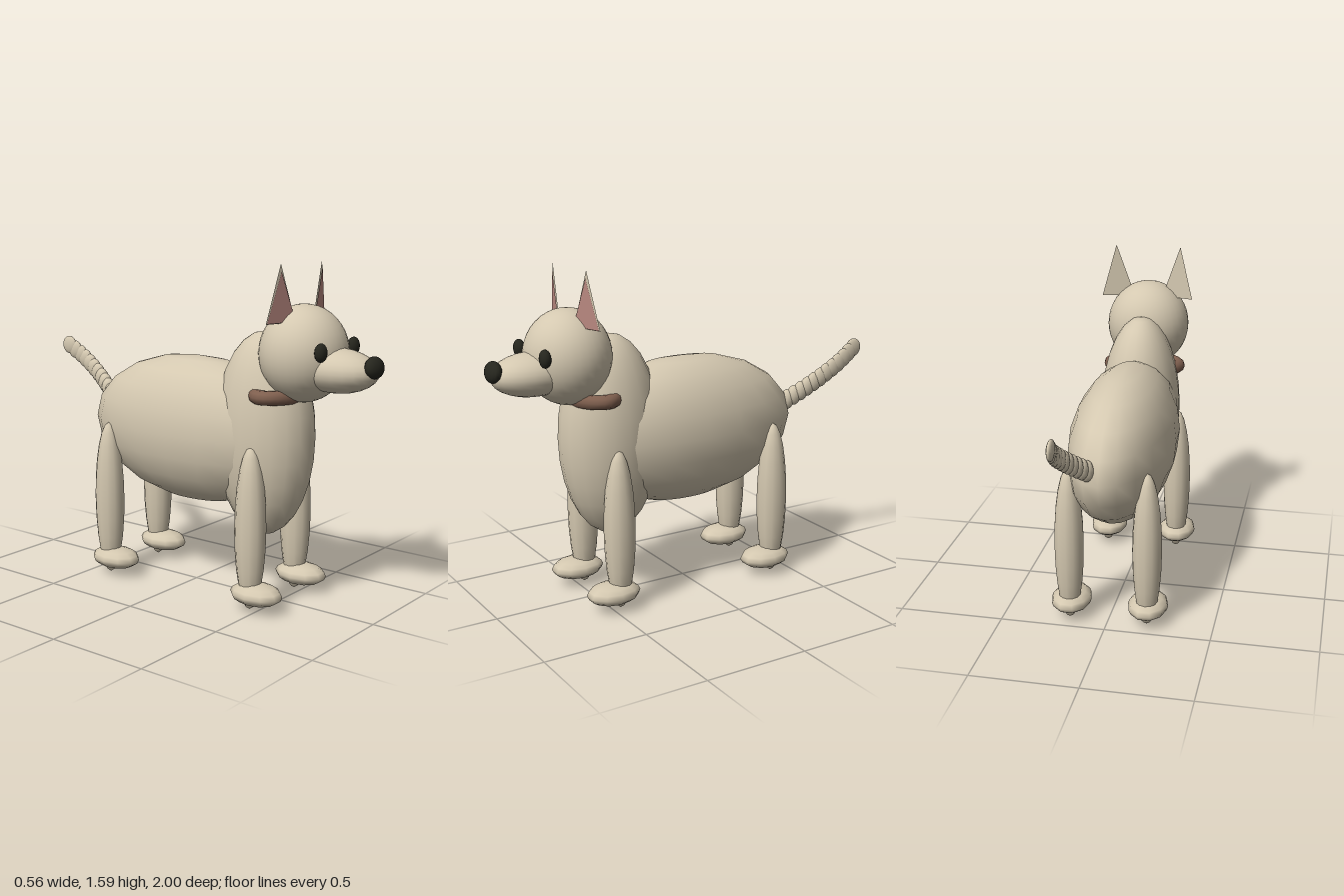
import * as THREE from 'three';

const material = (name, color) => {
  const m = new THREE.MeshStandardMaterial({ color });
  m.name = name;
  return m;
};

export function createModel() {
  const fur = material('beige fur', 0xd4c8b0);
  const dark = material('dark nose and eyes', 0x26261e);
  const leather = material('brown leather', 0x80604f);
  const pink = material('pink inner ear', 0xbc8a82);
  fur.side = pink.side = THREE.DoubleSide;

  const dog = new THREE.Group();
  dog.name = 'dog';

  const add = (name, geometry, mat, parent = dog) => {
    const mesh = new THREE.Mesh(geometry, mat);
    mesh.name = name;
    parent.add(mesh);
    return mesh;
  };
  // Ellipsoid from a centre and three radii
  const ellipsoid = (name, mat, centre, radii, w = 20, h = 14, parent = dog) => {
    const mesh = add(name, new THREE.SphereGeometry(1, w, h), mat, parent);
    mesh.position.set(...centre);
    mesh.scale.set(...radii);
    return mesh;
  };
  const triangle = (a, b, c) => {
    const g = new THREE.BufferGeometry();
    g.setAttribute('position', new THREE.Float32BufferAttribute([...a, ...b, ...c], 3));
    g.computeVertexNormals();
    return g;
  };

  // Trunk and head
  ellipsoid('body', fur, [0, 0.768, 0], [0.25, 0.354, 0.61], 20, 10);
  ellipsoid('chest', fur, [0, 0.79, 0.4], [0.2, 0.48, 0.25], 20, 14);
  ellipsoid('head', fur, [0, 1.185, 0.607], [0.207, 0.22, 0.202], 32, 20);
  ellipsoid('muzzle', fur, [0, 1.125, 0.775], [0.135, 0.1, 0.205], 24, 14);
  ellipsoid('nose', dark, [0, 1.155, 0.966], [0.064, 0.049, 0.033], 16, 12).rotation.x = -0.2;

  // Collar, narrow from front to back
  const collar = add('collar', new THREE.TorusGeometry(0.176, 0.033, 10, 28), leather);
  collar.rotation.x = Math.PI / 2;
  collar.scale.y = 0.63;
  collar.position.set(0, 0.996, 0.5);

  for (const side of [1, -1]) {
    const label = side > 0 ? 'left' : 'right';
    ellipsoid(label + 'Eye', dark, [side * 0.135, 1.217, 0.78], [0.034, 0.042, 0.026], 14, 10);

    // Flat ear with a slightly smaller pink lining in front
    const tip = [side * 0.164, 1.59, 0.588];
    const outer = [side * 0.232, 1.33, 0.56];
    const inner = [side * 0.072, 1.33, 0.606];
    const ear = new THREE.Group();
    ear.name = label + 'Ear';
    dog.add(ear);
    add('earBack', triangle(tip, outer, inner), fur, ear);
    const mid = tip.map((v, i) => (v + outer[i] + inner[i]) / 3);
    const inset = [tip, outer, inner].map((p, n) => p.map((v, i) => {
      const k = n === 0 ? 0.8 : 0.97;
      return mid[i] + (v - mid[i]) * k + (i === 2 ? 0.005 : i === 0 ? side * 0.001 : 0);
    }));
    add('earLining', triangle(...inset), pink, ear);

    // Spindle legs standing in flat paws
    for (const [pair, z] of [['Front', 0.455], ['Hind', -0.405]]) {
      ellipsoid(label + pair + 'Leg', fur, [side * 0.185, 0.384, z], [0.07, 0.384, 0.075], 12, 12);
      ellipsoid(label + pair + 'Paw', fur, [side * 0.185, 0.082, z + 0.036], [0.096, 0.052, 0.132], 10, 8);
    }
  }

  // Tail of overlapping beads along a curve
  const tail = new THREE.Group();
  tail.name = 'tail';
  dog.add(tail);
  const path = new THREE.CatmullRomCurve3([
    [0.055, 0.835, -0.585], [0.09, 0.89, -0.67], [0.117, 0.955, -0.77],
    [0.125, 1.015, -0.865], [0.114, 1.07, -0.952],
  ].map(p => new THREE.Vector3(...p)));
  const beads = 12;
  for (let i = 0; i < beads; i++) {
    const t = i / (beads - 1);
    const p = path.getPointAt(t);
    ellipsoid('tailBead', fur, [p.x, p.y, p.z], [0.033 - 0.017 * t, 0.051 - 0.004 * t, 0.036 + 0.012 * t], 12, 10, tail);
  }

  return dog;
}
